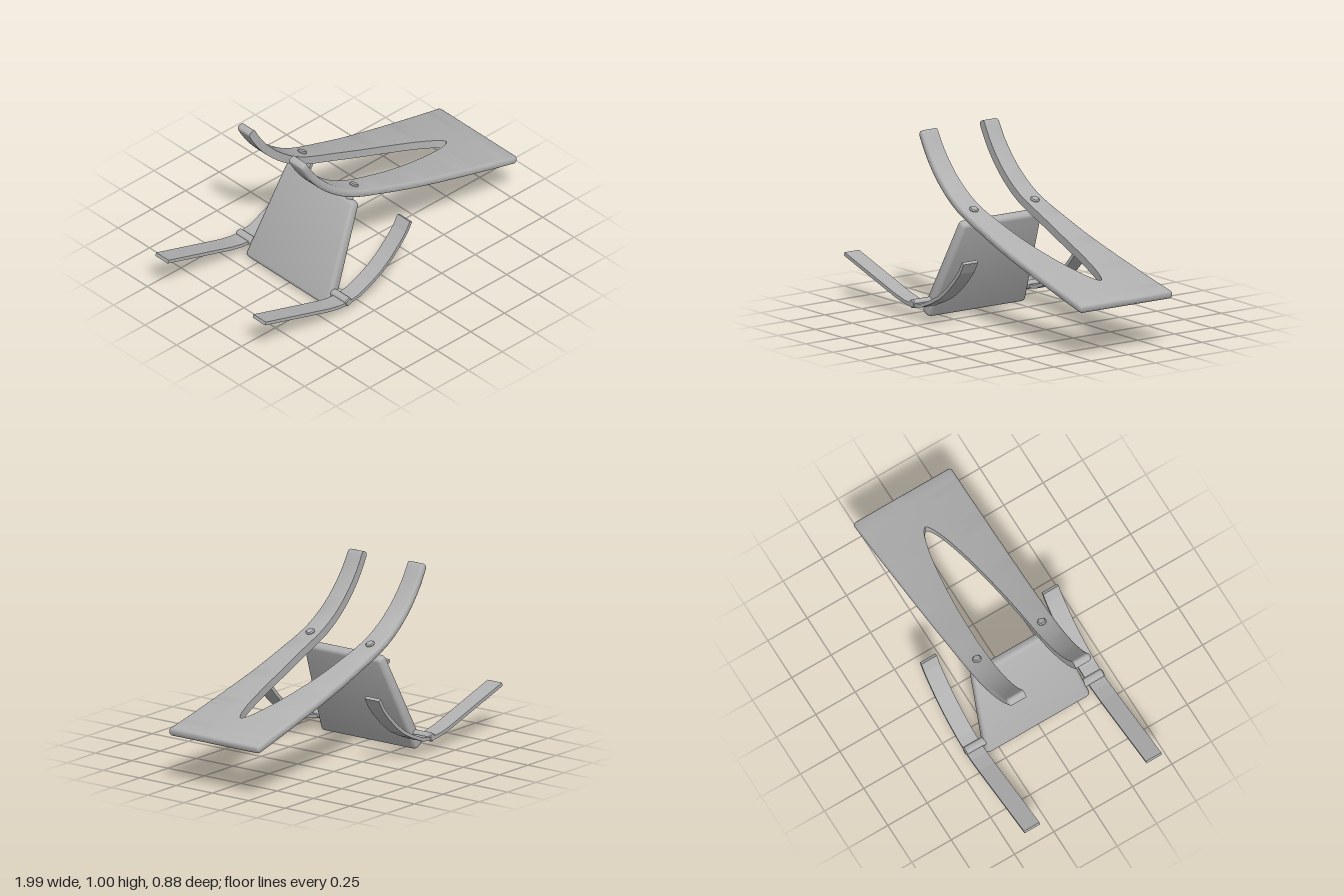
import * as THREE from 'three';
import { toCreasedNormals } from 'three/addons/utils/BufferGeometryUtils.js';

const grey = new THREE.MeshStandardMaterial({ color: 0xb0b0b0 });
grey.name = 'grey';

// Rectangular ring across the path: half thickness h, from zA to zB, with corner radii rA and rB
function section(p, t, h, zA, zB, rA, rB) {
  const ring = [];
  const corners = [[-1, zA, 1, rA], [1, zA, 1, rA], [1, zB, -1, rB], [-1, zB, -1, rB]];
  corners.forEach(([sn, z, inward, radius], k) => {
    const r = Math.min(radius, h * 0.9);
    const steps = radius > 0 ? 4 : 0;
    for (let i = 0; i <= steps; i++) {
      const a = Math.PI + (k + (steps ? i / steps : 0)) * Math.PI / 2;
      const n = steps ? sn * (h - r) + r * Math.cos(a) : sn * h;
      const w = steps ? z + inward * r + r * Math.sin(a) : z;
      ring.push(new THREE.Vector3(p.x - t.y * n, p.y + t.x * n, w));
    }
  });
  return ring;
}

// Skin a row of rings and cap both ends
function loft(rings, crease) {
  const pos = [];
  const tri = (...v) => v.forEach((q) => pos.push(q.x, q.y, q.z));
  const m = rings[0].length;
  for (let i = 0; i < rings.length - 1; i++) {
    for (let j = 0; j < m; j++) {
      const k = (j + 1) % m;
      const a = rings[i][j], b = rings[i][k], c = rings[i + 1][k], d = rings[i + 1][j];
      tri(a, b, c);
      tri(a, c, d);
    }
  }
  const first = rings[0], last = rings[rings.length - 1];
  for (let j = 1; j < m - 1; j++) {
    tri(first[0], first[j + 1], first[j]);
    tri(last[0], last[j], last[j + 1]);
  }
  const g = new THREE.BufferGeometry();
  g.setAttribute('position', new THREE.Float32BufferAttribute(pos, 3));
  g.computeVertexNormals();
  return crease ? toCreasedNormals(g, crease) : g;
}

const curve = (pts) => new THREE.CatmullRomCurve3(pts.map(([x, y]) => new THREE.Vector3(x, y, 0)));

// How far a rounded end pulls in at distance d from the end
const endInset = (d, r) => (d >= r ? 0 : r - Math.sqrt(r * r - (r - d) ** 2));

// One half of the forked deck: a curved arm that widens into the solid end
function deckHalf(side) {
  const path = curve([[-0.548, 1.0], [-0.49, 0.9], [-0.4, 0.79], [-0.3, 0.703], [-0.2, 0.64],
    [-0.1, 0.597], [0, 0.563], [0.2, 0.497], [0.4, 0.44], [0.6, 0.388], [0.8, 0.338], [0.992, 0.293]]);
  const length = path.getLength();
  const tipX = 0.745, notchX = -0.15, r = 0.018;
  let lo = 0, hi = 1;
  for (let i = 0; i < 30; i++) {
    const mid = (lo + hi) / 2;
    if (path.getPointAt(mid).x < tipX) lo = mid; else hi = mid;
  }
  const stations = [0, 0.002, 0.006, 0.011, 0.018].map((d) => d / length);
  for (let i = 1; i <= 40; i++) stations.push(lo * Math.sin((i / 40) * Math.PI / 2));
  for (let i = 1; i <= 5; i++) stations.push(lo + (0.96 - lo) * i / 5);
  [0.018, 0.011, 0.006, 0.002, 0].forEach((d) => stations.push(1 - d / length));
  const rings = stations.sort((a, b) => a - b).map((u) => {
    const p = path.getPointAt(u), t = path.getTangentAt(u);
    const inset = endInset(Math.min(u, 1 - u) * length, r);
    const s = THREE.MathUtils.clamp((p.x - notchX) / (tipX - notchX), 0, 1);
    let inner = 0.147 * Math.pow(1 - Math.pow(s, 1.5), 0.6);
    if (p.x < notchX) inner += 0.01 * (notchX - p.x) / 0.4;
    if (u >= lo - 1e-6) inner = 0;
    const outer = 0.262 + 0.05 * (p.x + 0.55) / 1.55 - inset;
    const h = 0.023 - inset;
    return side > 0 ? section(p, t, h, inner, outer, 0, r) : section(p, t, h, -outer, -inner, r, 0);
  });
  return loft(rings, 0.6);
}

// Tapered upright board with rounded edges
function board() {
  const a = new THREE.Vector3(-0.41, 0.014, 0), b = new THREE.Vector3(-0.16, 0.562, 0);
  const t = b.clone().sub(a).normalize();
  const len = a.distanceTo(b), r = 0.022;
  const ends = [0, 0.002, 0.007, 0.013, r];
  const rings = [...ends, ...ends.map((d) => len - d).reverse()].map((d) => {
    const f = d / len, inset = endInset(Math.min(d, len - d), r);
    const half = 0.331 - 0.066 * f - inset;
    return section(a.clone().lerp(b, f), t, 0.036 - 0.006 * f - inset, -half, half, r, r);
  });
  return loft(rings, 0.6);
}

// Thin curved runner: straight tail, then a faceted upswept arc
function runner(zA, zB) {
  const pts = [[-0.997, 0.257], [-0.527, 0.11], [-0.45, 0.092], [-0.38, 0.085], [-0.3, 0.097], [-0.21, 0.134],
    [-0.135, 0.173], [-0.065, 0.226], [0.005, 0.293], [0.05, 0.345], [0.083, 0.402]]
    .map(([x, y]) => new THREE.Vector3(x, y, 0));
  return loft(pts.map((p, i) => {
    const t = pts[Math.min(i + 1, pts.length - 1)].clone().sub(pts[Math.max(i - 1, 0)]).normalize();
    return section(p, t, 0.01, zA, zB, 0, 0);
  }));
}

// Short rod with bevelled rims, standing on its y axis
function rod(radius, length) {
  const b = 0.006, h = length / 2;
  const profile = [[0, -h], [radius - b, -h], [radius, -h + b], [radius, h - b], [radius - b, h], [0, h]];
  return toCreasedNormals(new THREE.LatheGeometry(profile.map(([x, y]) => new THREE.Vector2(x, y)), 24), 0.6);
}

export function createModel() {
  const model = new THREE.Group();
  const add = (name, geometry) => {
    const mesh = new THREE.Mesh(geometry, grey);
    mesh.name = name;
    model.add(mesh);
    return mesh;
  };

  add('uprightBoard', board());
  const axle = add('axle', rod(0.024, 0.88));
  axle.position.set(-0.38, 0.093, 0);
  axle.rotation.x = Math.PI / 2;

  const lean = -Math.atan2(0.25, 0.548);
  for (const side of [1, -1]) {
    const label = side > 0 ? 'front' : 'back';
    add(label + 'DeckHalf', deckHalf(side));
    add(label + 'Runner', side > 0 ? runner(0.338, 0.436) : runner(-0.436, -0.338));
    // Pin through the deck with a flat head
    const pin = add(label + 'Pin', rod(0.021, 0.12));
    pin.position.set(-0.152, 0.577, side * 0.206);
    pin.rotation.z = lean;
    const head = add(label + 'PinHead', rod(0.025, 0.022));
    head.position.set(-0.127, 0.632, side * 0.206);
    head.rotation.z = lean;
  }
  return model;
}
